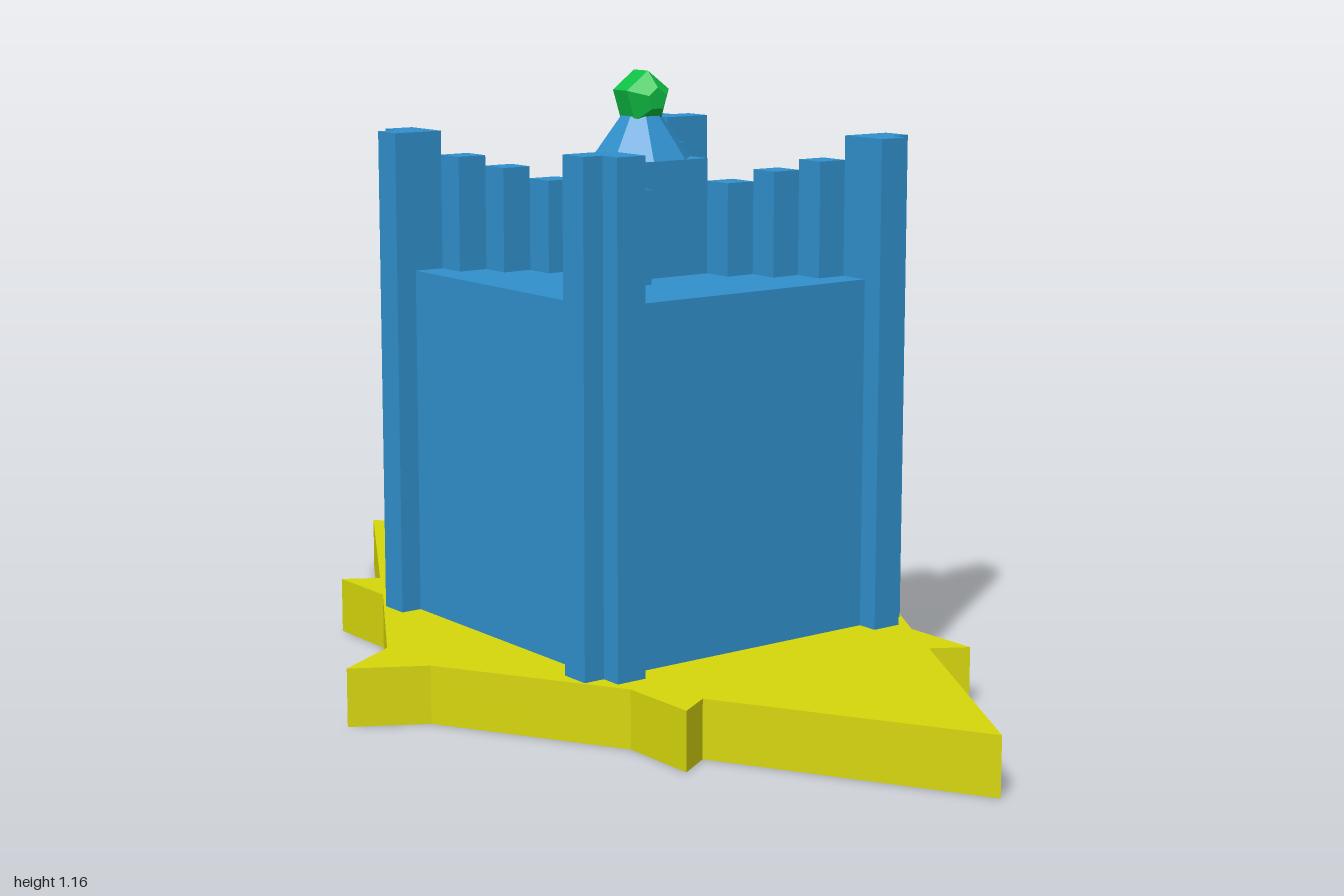
import * as THREE from 'three';

const material = (color) => new THREE.MeshStandardMaterial({ color, flatShading: true });
const yellow = material(0xd6d60c), blue = material(0x3090cc), emerald = material(0x0fc045);
const green = material(0x10c018), teal = material(0x30b8a8), purple = material(0x5508b0), gold = material(0xb89010);

function add(parent, name, geometry, mat) {
  const mesh = new THREE.Mesh(geometry, mat);
  mesh.name = name;
  parent.add(mesh);
  return mesh;
}

// Box given by its lower and upper limits on each axis
function box(parent, name, mat, x0, x1, y0, y1, z0, z1) {
  const mesh = add(parent, name, new THREE.BoxGeometry(x1 - x0, y1 - y0, z1 - z0), mat);
  mesh.position.set((x0 + x1) / 2, (y0 + y1) / 2, (z0 + z1) / 2);
  return mesh;
}

function group(parent, name) {
  const g = new THREE.Group();
  g.name = name;
  parent.add(g);
  return g;
}

export function createModel() {
  const model = new THREE.Group();
  model.name = 'starTower';
  const floor = 0.11, roof = 0.78, wall = 0.335, outer = 0.377;

  // Star-shaped base, one quarter outline mirrored into four
  const quarter = [[1, 0], [0.535, 0.268], [0.575, 0.335], [0.415, 0.335], [0.075, 0.535], [0, 0.667]];
  const half = [...quarter, ...quarter.slice(0, -1).reverse().map(([x, z]) => [-x, z])];
  const outline = [...half, ...half.slice(1, -1).reverse().map(([x, z]) => [x, -z])];
  const star = new THREE.Shape(outline.map(([x, z]) => new THREE.Vector2(x, z)));
  add(model, 'starBase', new THREE.ExtrudeGeometry(star, { depth: floor, bevelEnabled: false }).rotateX(-Math.PI / 2), yellow);

  // Main block
  box(model, 'towerBody', blue, -wall, wall, floor, roof, -wall, wall);

  // Corner pillars and the stepped posts running diagonally inwards
  const posts = [[0.213, 0.274, 1.0], [0.152, 0.213, 0.98], [0.09, 0.152, 0.957]];
  for (const sx of [-1, 1]) for (const sz of [-1, 1]) {
    const corner = group(model, 'cornerPillar');
    const column = (name, x0, x1, z0, z1, y0, y1) => {
      const mesh = add(corner, name, new THREE.BoxGeometry(x1 - x0, y1 - y0, z1 - z0), blue);
      mesh.position.set(sx * (x0 + x1) / 2, (y0 + y1) / 2, sz * (z0 + z1) / 2);
    };
    column('innerColumn', 0.274, wall, 0.274, wall, roof, 1.046);
    column('sideColumn', wall, outer, 0.274, wall, floor, 1.046);
    column('faceColumn', 0.274, wall, wall, outer, floor, 1.046);
    for (const [a, b, top] of posts) column('steppedPost', a, b, a, b, roof, top);
  }

  // Central turret with an eight-sided cap
  box(model, 'turret', blue, -0.09, 0.09, roof, 1.0, -0.09, 0.09);
  const k = 1 / Math.cos(Math.PI / 8);
  const cap = add(model, 'turretCap', new THREE.CylinderGeometry(0.036 * k, 0.09 * k, 0.08, 8).rotateY(Math.PI / 8), blue);
  cap.position.y = 1.04;

  // Five-sided gem lying along x, one corner up
  const profile = [[0, -0.053], [0.022, -0.053], [0.052, -0.022], [0.052, 0.022], [0.022, 0.053], [0, 0.053]];
  const gem = new THREE.LatheGeometry(profile.map(([r, h]) => new THREE.Vector2(r, h)), 5);
  gem.rotateX(-Math.PI / 2).rotateY(Math.PI / 2);
  // turn about x until a corner points straight up
  const p = gem.attributes.position;
  gem.rotateX(Math.atan2(p.getZ(2), p.getY(2)) * -1);
  add(model, 'gem', gem, emerald).position.y = 1.113;

  // Blocky ring ornament on the side wall, laid out on a square grid
  const ornament = group(model, 'wallOrnament');
  const cell = 0.061, midY = 0.328;
  const block = (name, mat, i, j, x, w = 1, h = 1) => box(ornament, name, mat, x, -wall,
    midY + (j - h / 2) * cell, midY + (j + h / 2) * cell, (i - w / 2) * cell, (i + w / 2) * cell);
  block('centreStud', gold, 0, 0, -0.47);
  for (const s of [-1, 1]) {
    block('ringBar', gold, 0, 4 * s, -outer, 3, 1);
    block('ringBar', gold, 4 * s, 0, -outer, 1, 3);
    block('sideStud', purple, 2 * s, 0, -0.402);
    for (const t of [-1, 1]) {
      block('petal', green, s, t, -0.42);
      block('ringBlock', teal, 2 * s, 3 * t, -outer);
      block('ringBlock', teal, 3 * s, 2 * t, -outer);
    }
  }
  return model;
}
